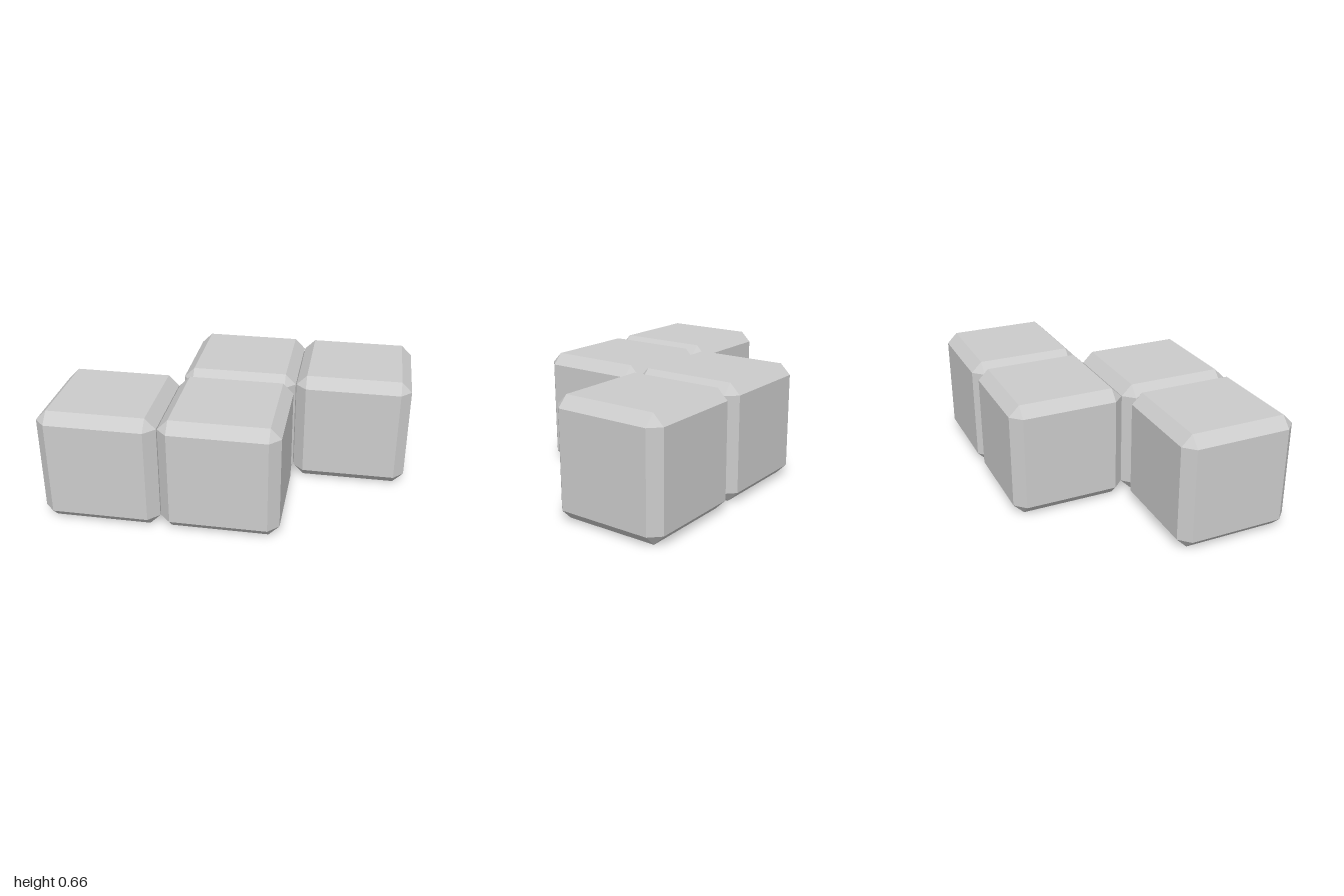
import * as THREE from 'three';
import { ConvexGeometry } from 'three/addons/geometries/ConvexGeometry.js';

const CHAMFER = 0.06;

// Box with flat bevelled edges and triangular corners
function chamferedBox(w, h, d) {
  const half = [w / 2, h / 2, d / 2];
  const points = [];
  for (const sx of [-1, 1]) for (const sy of [-1, 1]) for (const sz of [-1, 1]) {
    for (let face = 0; face < 3; face++) {
      const p = half.map((v, axis) => (axis === face ? v : v - CHAMFER));
      points.push(new THREE.Vector3(sx * p[0], sy * p[1], sz * p[2]));
    }
  }
  return new ConvexGeometry(points);
}

export function createModel() {
  const group = new THREE.Group();
  group.name = 'zigzagBlock';
  const material = new THREE.MeshStandardMaterial({ color: 0xcccccc, flatShading: true });
  const geometry = chamferedBox(0.664, 0.664, 0.66);

  // Four cubes in an S-shaped arrangement
  const cubes = [
    ['frontRightCube', -0.668, 0.334],
    ['frontMiddleCube', 0, 0.332],
    ['backMiddleCube', 0, -0.331],
    ['backLeftCube', 0.668, -0.334],
  ];
  for (const [name, x, z] of cubes) {
    const cube = new THREE.Mesh(geometry, material);
    cube.name = name;
    cube.position.set(x, 0.332, z);
    group.add(cube);
  }
  return group;
}
